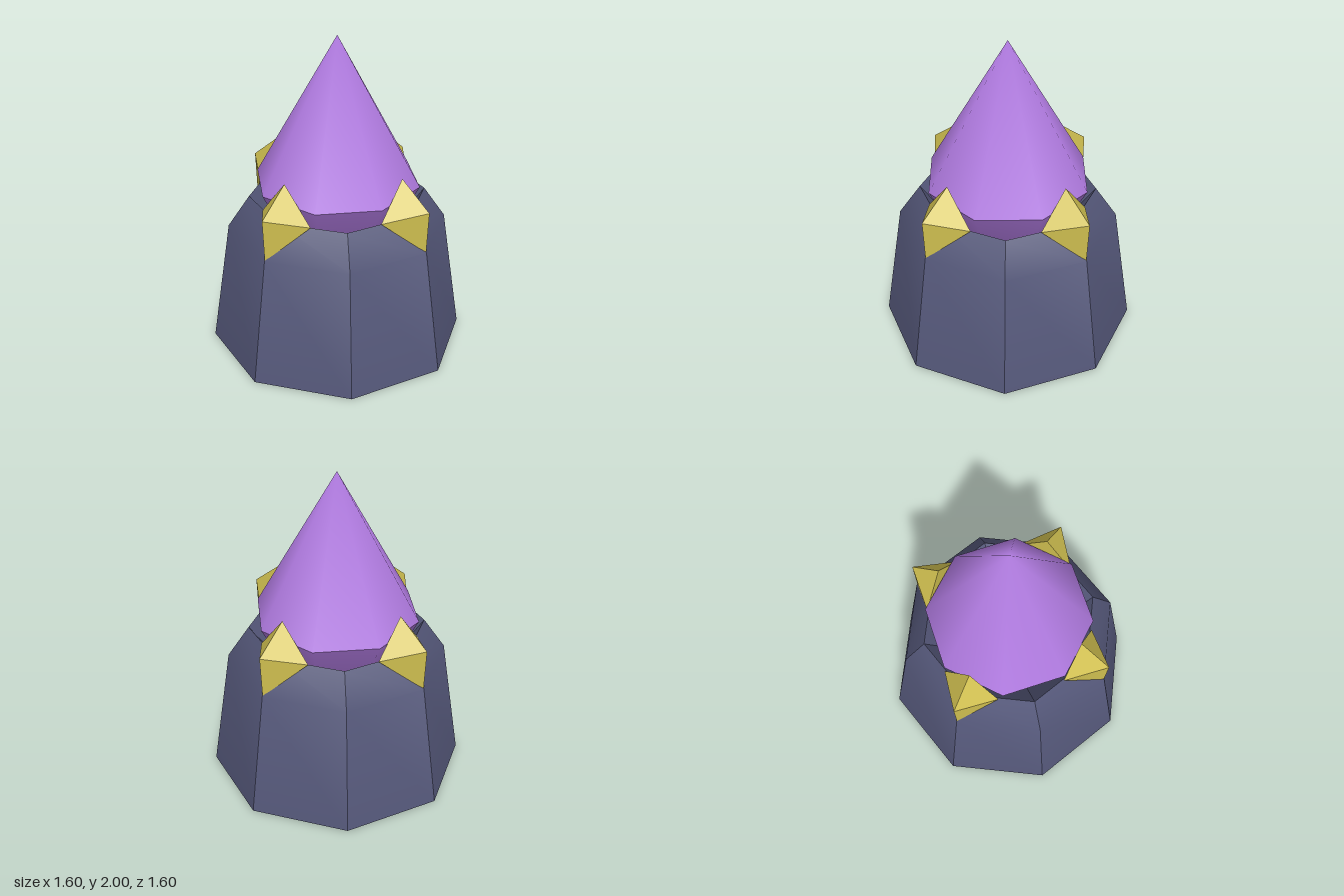
import * as THREE from 'three';
import { mergeVertices, toCreasedNormals } from 'three/addons/utils/BufferGeometryUtils.js';

const stone = new THREE.MeshStandardMaterial({ color: 0x55587a });
const purple = new THREE.MeshStandardMaterial({ color: 0xb07ae0 });
const gold = new THREE.MeshStandardMaterial({ color: 0xd0c050 });

function addMesh(parent, name, geometry, material) {
  const mesh = new THREE.Mesh(geometry, material);
  mesh.name = name;
  parent.add(mesh);
  return mesh;
}

// Eight-sided cone with normals shared across its seam and tip
function smoothCone(radius, height) {
  const cone = new THREE.ConeGeometry(radius, height, 8, 1, true);
  cone.deleteAttribute('normal');
  cone.deleteAttribute('uv');
  const merged = mergeVertices(cone);
  merged.computeVertexNormals();
  return merged;
}

// Faceted claw with a shoulder tip, pointing towards +z
function clawGeometry() {
  const top = [0, 1.22, 0.49], tip = [0, 1.055, 0.69], bottom = [0, 0.79, 0.677];
  const left = [0.187, 0.99, 0.48], right = [-0.187, 0.99, 0.48];
  const faces = [
    [top, tip, left], [top, right, tip],
    [tip, bottom, left], [tip, right, bottom],
    [top, left, right], [bottom, right, left],
  ];
  const geometry = new THREE.BufferGeometry();
  geometry.setAttribute('position', new THREE.Float32BufferAttribute(faces.flat(2), 3));
  geometry.computeVertexNormals();
  return geometry;
}

export function createModel() {
  const model = new THREE.Group();
  model.name = 'crystalPedestal';

  // Tapered octagonal pedestal with bevelled shoulder and sunken seat
  const profile = [[0, 0], [0.8, 0], [0.68, 0.79], [0.547, 0.985], [0.4, 0.79], [0, 0.79]]
    .map(([r, y]) => new THREE.Vector2(r, y));
  addMesh(model, 'pedestal', toCreasedNormals(new THREE.LatheGeometry(profile, 8), 0.5), stone);

  // Crystal: tall upper point and a lower point set into the pedestal
  const crystal = new THREE.Group();
  crystal.name = 'crystal';
  crystal.rotation.y = THREE.MathUtils.degToRad(24.4);
  crystal.position.y = 1.08;
  model.add(crystal);
  addMesh(crystal, 'crystalTop', smoothCone(0.517, 0.92).translate(0, 0.46, 0), purple);
  addMesh(crystal, 'crystalBottom', smoothCone(0.517, 0.98).rotateX(Math.PI).translate(0, -0.49, 0), purple);

  // Four claws around the rim
  const claw = clawGeometry();
  ['frontClaw', 'leftClaw', 'backClaw', 'rightClaw'].forEach((name, i) => {
    addMesh(model, name, claw, gold).rotation.y = (i * Math.PI) / 2;
  });

  return model;
}
